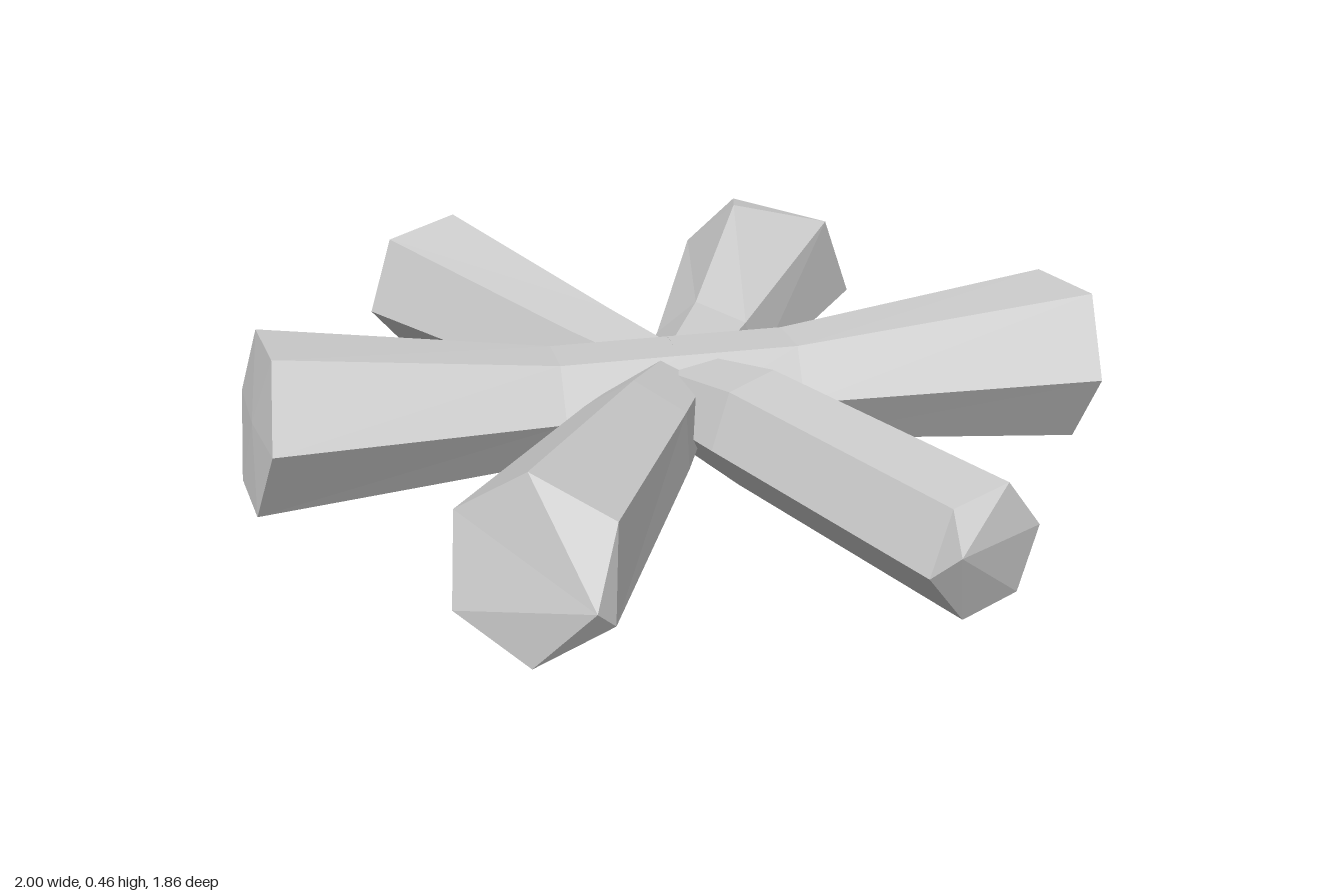
import * as THREE from 'three';

const material = new THREE.MeshStandardMaterial({ color: 0xcccccc, flatShading: true });
const hub = new THREE.Vector3(0, 0.2, 0);
const up = new THREE.Vector3(0, 1, 0);
const SIDES = 6;

// Each arm: centre, radius and roll (degrees) of its six-sided end, slant of the
// cut sideways and upwards, push of one chipped corner, peak of the broken end
// (sideways, up, outwards) and radius at the core.
const arms = [
  { name: 'rightArm', end: [-0.955, 0.22, 0.01], r: 0.21, roll: 0, slant: [-0.03, -0.035], chip: 0, peak: [0, 0, 0.01], core: 0.135 },
  { name: 'leftArm', end: [0.99, 0.22, 0], r: 0.21, roll: 0, slant: [0, 0.01], chip: -0.04, peak: [0, 0, -0.01], core: 0.135 },
  { name: 'backLeftArm', end: [0.46, 0.24, -0.79], r: 0.23, roll: 18, slant: [-0.03, -0.1], chip: -0.1, peak: [0.09, 0.2, -0.05], core: 0.1 },
  { name: 'backRightArm', end: [-0.475, 0.235, -0.84], r: 0.2, roll: -10, slant: [0.015, 0], chip: 0, peak: [0, 0, 0.015], core: 0.1 },
  { name: 'frontRightArm', end: [-0.455, 0.195, 0.785], r: 0.19, roll: 33, slant: [0, -0.05], chip: 0.04, peak: [0.15, -0.04, 0.07], core: 0.1 },
  { name: 'frontLeftArm', end: [0.435, 0.145, 0.83], r: 0.145, roll: 8, slant: [0.02, -0.005], chip: 0, peak: [-0.13, 0.045, 0.046], core: 0.1 },
];

function buildArm({ name, end, r, roll, slant, chip, peak, core }) {
  const centre = new THREE.Vector3(...end);
  const out = centre.clone().setY(0).normalize();
  const side = up.clone().cross(out);
  const place = (c, s, u, o) => c.clone()
    .addScaledVector(side, s).addScaledVector(up, u).addScaledVector(out, o);

  // Hexagonal section; cut is 1 for the slanted, chipped end
  const section = (c, radius, cut) => Array.from({ length: SIDES }, (_, i) => {
    const t = THREE.MathUtils.degToRad(roll + (i * 360) / SIDES);
    const cos = Math.cos(t), sin = Math.sin(t);
    const shift = slant[0] * cos + slant[1] * sin + (i === 1 ? chip : 0);
    return place(c, radius * cos, radius * sin, cut * shift);
  });
  const waist = place(hub, 0, 0, 0.28);
  const rings = [section(hub, core, 0), section(waist, 0.135, 0), section(centre, r, 1)];
  const tip = place(centre, ...peak);

  const points = [];
  for (let i = 0; i < SIDES; i++) {
    const j = (i + 1) % SIDES;
    for (let k = 0; k < 2; k++) {
      const a = rings[k], b = rings[k + 1];
      points.push(a[i], a[j], b[i], a[j], b[j], b[i]);
    }
    points.push(tip, rings[2][i], rings[2][j]); // broken end
    points.push(hub, rings[0][j], rings[0][i]); // closed core
  }
  const geometry = new THREE.BufferGeometry().setFromPoints(points);
  geometry.computeVertexNormals();
  const mesh = new THREE.Mesh(geometry, material);
  mesh.name = name;
  return mesh;
}

export function createModel() {
  const group = new THREE.Group();
  group.name = 'sixArmedCluster';
  arms.forEach((arm) => group.add(buildArm(arm)));
  return group;
}
